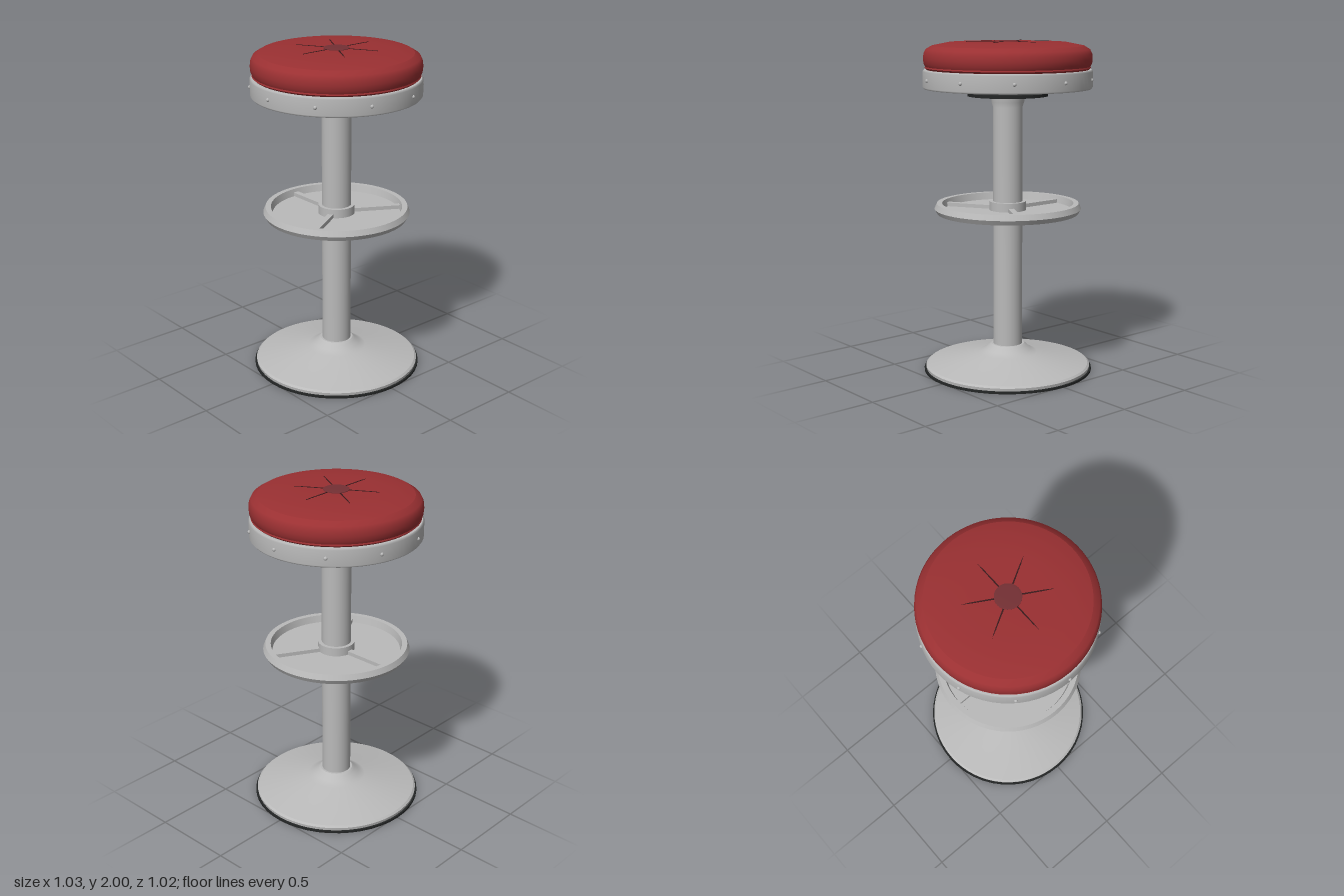
import * as THREE from 'three';

const mat = (name, color) => {
  const m = new THREE.MeshStandardMaterial({ color });
  m.name = name;
  return m;
};

export function createModel() {
  const metal = mat('brushed metal', 0xbababa);
  const black = mat('black rubber', 0x242626);
  const red = mat('red leather', 0x9a3032);
  const button = mat('dark red button', 0x743034);
  const seam = mat('seam shadow', 0x3a1a1c);

  const stool = new THREE.Group();
  stool.name = 'barStool';

  const add = (name, geometry, material, parent = stool) => {
    const mesh = new THREE.Mesh(geometry, material);
    mesh.name = name;
    parent.add(mesh);
    return mesh;
  };

  // Turned part from [radius, height] points, bottom to top; a third value
  // doubles the point so that the edge stays sharp
  const turned = (name, points, material, segments = 64) => {
    const profile = [];
    for (const [r, y, sharp] of points) {
      profile.push(new THREE.Vector2(r, y));
      if (sharp) profile.push(new THREE.Vector2(r, y));
    }
    return add(name, new THREE.LatheGeometry(profile, segments), material);
  };

  // Base
  turned('floorPad', [[0, 0], [0.512, 0, 1], [0.512, 0.013, 1], [0, 0.013]], black, 48);
  turned('base', [[0.5, 0.013], [0.502, 0.03, 1], [0.49, 0.04, 1], [0.18, 0.105],
    [0.14, 0.125], [0.11, 0.152, 1], [0.1, 0.16, 1], [0.08, 0.16]], metal);

  // Column with flared head
  turned('column', [[0.088, 0.15], [0.088, 1.61], [0.098, 1.64], [0.1, 1.69]], metal, 40);

  // Footrest: dished plate with rim, hub and three spokes
  const rest = new THREE.Group();
  rest.name = 'footrest';
  stool.add(rest);
  rest.add(turned('footrestPlate', [[0, 0.972], [0.425, 0.972, 1], [0.441, 1, 1], [0.427, 1.033, 1],
    [0.395, 1.033, 1], [0.385, 0.99, 1], [0, 0.99]], metal));
  rest.add(turned('footrestHub', [[0.08, 0.963], [0.11, 0.963, 1], [0.11, 1.043, 1], [0.08, 1.043]], metal, 40));
  for (let i = 0; i < 3; i++) {
    const angle = Math.PI / 6 + i * Math.PI * 2 / 3;
    const spoke = add('spoke', new THREE.BoxGeometry(0.3, 0.025, 0.035), metal, rest);
    spoke.position.set(Math.cos(angle) * 0.245, 1, Math.sin(angle) * 0.245);
    spoke.rotation.y = -angle;
  }

  // Swivel plate under the seat
  turned('swivelPlate', [[0, 1.675], [0.24, 1.675, 1], [0.24, 1.693, 1], [0.15, 1.712, 1], [0.15, 1.73]], black, 48);

  // Seat band with rivets
  turned('seatBand', [[0, 1.72], [0.495, 1.72, 1], [0.503, 1.73], [0.503, 1.822],
    [0.495, 1.832, 1], [0.47, 1.832]], metal);
  for (let i = 0; i < 10; i++) {
    const angle = i * Math.PI / 5;
    const rivet = add('rivet', new THREE.SphereGeometry(0.011, 10, 8), metal);
    rivet.position.set(Math.cos(angle) * 0.502, 1.775, Math.sin(angle) * 0.502);
  }

  // Cushion with piping at its foot
  turned('cushion', [[0.47, 1.82], [0.48, 1.833], [0.491, 1.842, 1], [0.488, 1.85, 1], [0.497, 1.868],
    [0.5, 1.895], [0.497, 1.925], [0.485, 1.95], [0.45, 1.971, 1], [0.355, 1.99], [0.21, 1.995], [0, 1.995]], red);

  // Button and six tapered creases around it
  turned('button', [[0.075, 1.99], [0.075, 1.998, 1], [0.06, 2], [0, 2]], button, 32);
  const crease = new THREE.Shape([
    new THREE.Vector2(0.07, -0.004), new THREE.Vector2(0.2, -0.003),
    new THREE.Vector2(0.248, 0), new THREE.Vector2(0.2, 0.003), new THREE.Vector2(0.07, 0.004),
  ]);
  const creaseGeometry = new THREE.ExtrudeGeometry(crease, { depth: 0.005, bevelEnabled: false });
  creaseGeometry.rotateX(-Math.PI / 2);
  for (let i = 0; i < 6; i++) {
    const mesh = add('crease', creaseGeometry, seam);
    mesh.position.y = 1.992;
    mesh.rotation.y = i * Math.PI / 3;
  }

  return stool;
}
